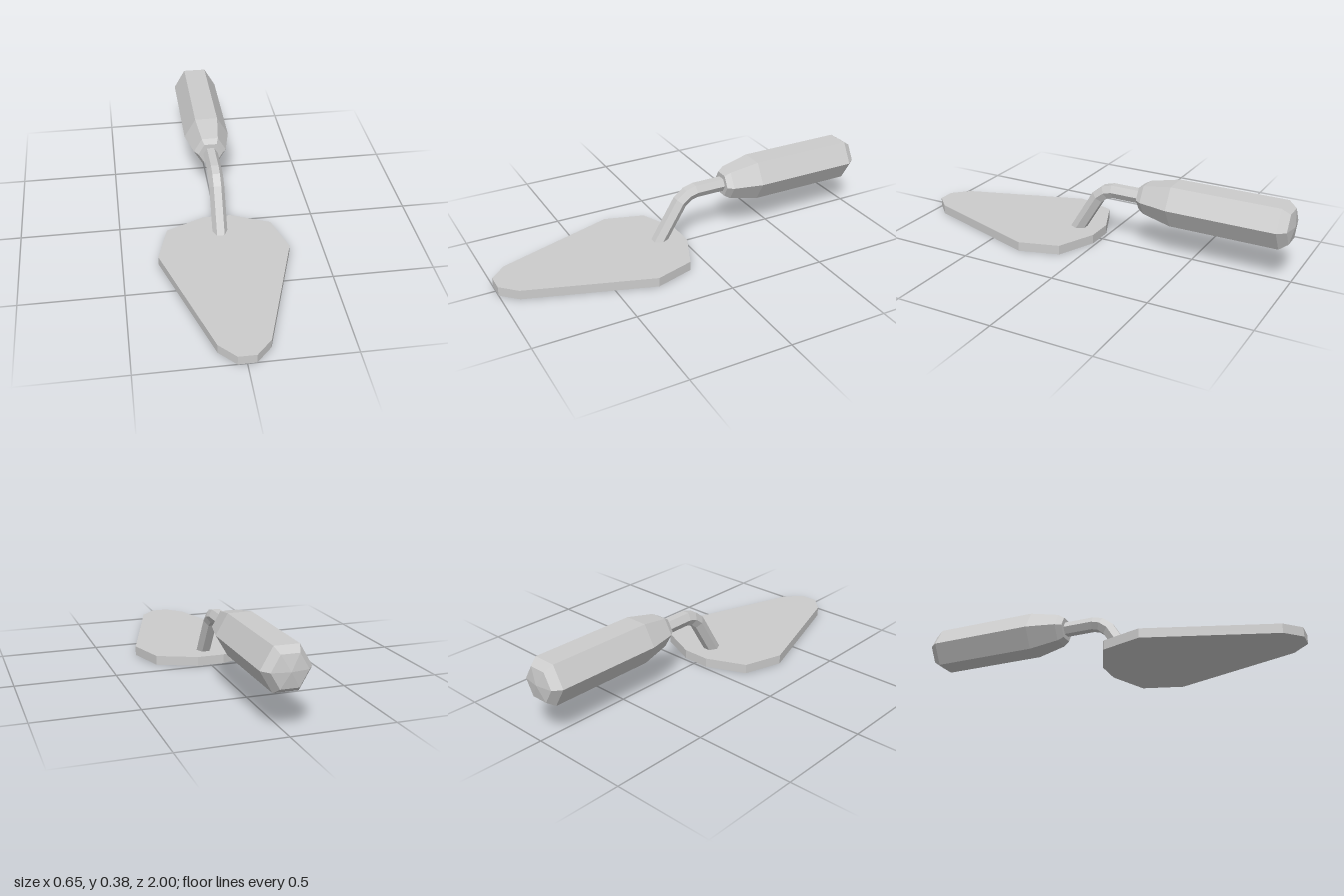
import * as THREE from 'three';

const SIDES = 6;

// Sweeps a hexagon along a path of [y, z] points in the x = 0 plane, with mitred bends.
function hexSweep(path, radius) {
  const pts = path.map(([y, z]) => new THREE.Vector3(0, y, z));
  const dir = (i) => pts[i + 1].clone().sub(pts[i]).normalize();
  const positions = [];
  const index = [];
  pts.forEach((p, i) => {
    const before = dir(Math.max(i - 1, 0));
    const after = dir(Math.min(i, pts.length - 2));
    const t = before.clone().add(after).normalize();
    const miter = 1 / t.dot(after);
    for (let j = 0; j < SIDES; j++) {
      const a = (j / SIDES) * Math.PI * 2;
      const up = Math.sin(a) * radius * miter;
      positions.push(Math.cos(a) * radius, p.y - t.z * up, p.z + t.y * up);
      if (i < pts.length - 1) {
        const k = (j + 1) % SIDES;
        const n = i * SIDES;
        index.push(n + j, n + SIDES + j, n + k, n + SIDES + j, n + SIDES + k, n + k);
      }
    }
  });
  const geometry = new THREE.BufferGeometry();
  geometry.setAttribute('position', new THREE.Float32BufferAttribute(positions, 3));
  geometry.setIndex(index);
  const flat = geometry.toNonIndexed();
  flat.computeVertexNormals();
  return flat;
}

export function createModel() {
  const group = new THREE.Group();
  const material = new THREE.MeshStandardMaterial({ color: 0xcccccc, flatShading: true });
  const add = (name, geometry) => {
    const mesh = new THREE.Mesh(geometry, material);
    mesh.name = name;
    group.add(mesh);
  };

  // Blade: half outline [x, z] mirrored, extruded to a thin plate
  const half = [[0.07, 0.015], [0.265, 0.1], [0.325, 0.3], [0.12, 0.92], [0.043, 1]];
  const mirrored = half.map(([x, z]) => [-x, z]).reverse();
  const outline = new THREE.Shape([...half, ...mirrored].map(([x, z]) => new THREE.Vector2(x, z)));
  const thickness = 0.047;
  const blade = new THREE.ExtrudeGeometry(outline, { depth: thickness, bevelEnabled: false });
  blade.rotateX(Math.PI / 2).translate(0, thickness, 0);
  add('blade', blade);

  // Bent shank rising from the blade into the handle
  add('shank', hexSweep([[0.02, 0.152], [0.235, 0.02], [0.268, -0.022], [0.28, -0.065], [0.28, -0.24]], 0.038));

  // Hexagonal handle: [radius, distance behind the centre]
  const profile = [[0, 0.22], [0.064, 0.22], [0.084, 0.25], [0.117, 0.4], [0.117, 0.945], [0.086, 0.986], [0, 1]];
  const handle = new THREE.LatheGeometry(
    profile.map(([r, d]) => new THREE.Vector2(r, d)), SIDES, Math.PI / 2);
  handle.rotateX(-Math.PI / 2).translate(0, 0.28, 0);
  add('handle', handle);

  return group;
}
